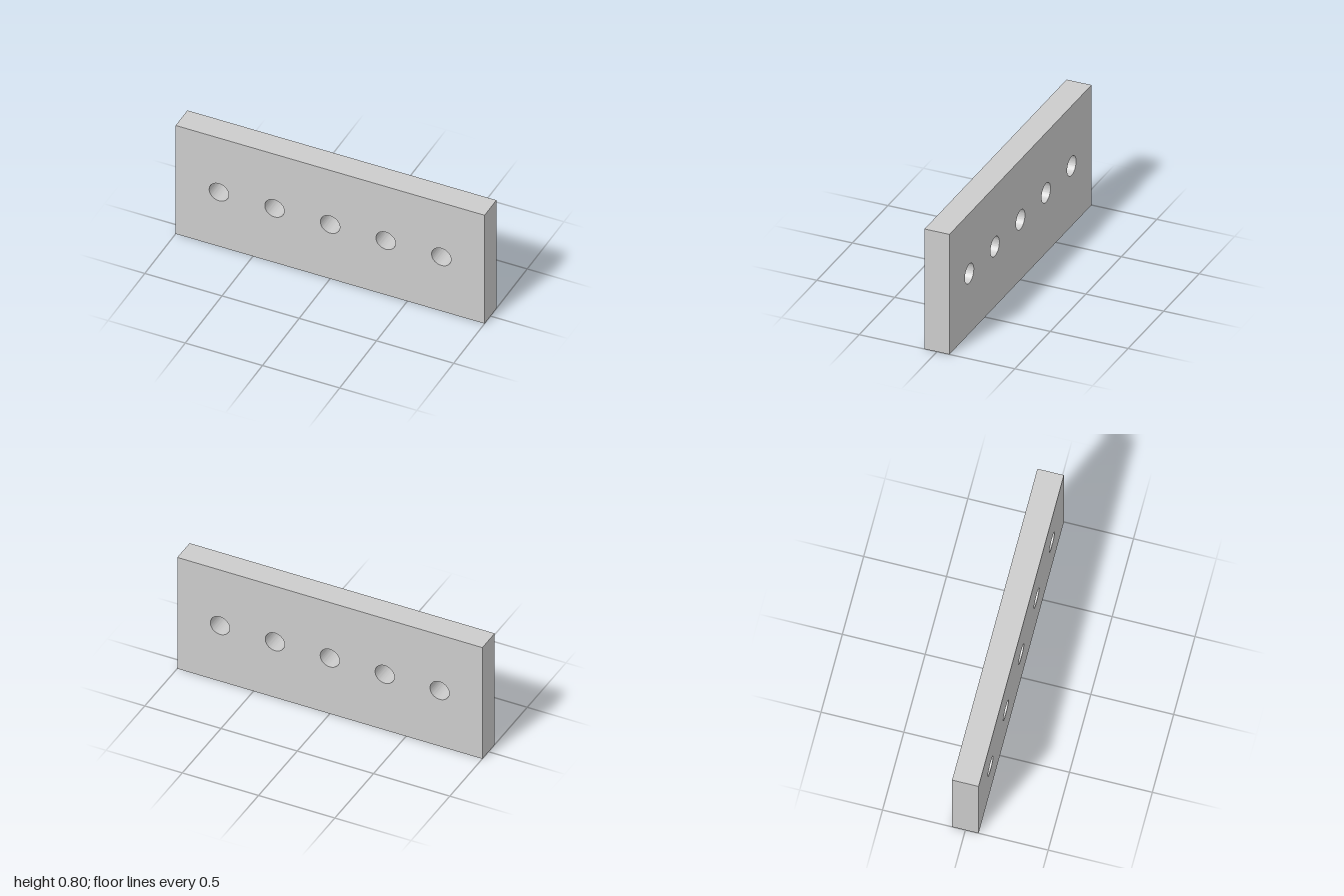
import * as THREE from 'three';
import { toCreasedNormals } from 'three/addons/utils/BufferGeometryUtils.js';

const WIDTH = 2, HEIGHT = 0.8, DEPTH = 0.16;
const HOLES = 5, HOLE_SPACING = 0.36, HOLE_RADIUS = 0.063;

export function createModel() {
  const group = new THREE.Group();
  group.name = 'perforatedPlate';

  // Rectangular plate outline
  const outline = new THREE.Shape([
    new THREE.Vector2(-WIDTH / 2, 0),
    new THREE.Vector2(WIDTH / 2, 0),
    new THREE.Vector2(WIDTH / 2, HEIGHT),
    new THREE.Vector2(-WIDTH / 2, HEIGHT),
  ]);

  // Row of round through holes along the middle
  for (let i = 0; i < HOLES; i++) {
    const x = (i - (HOLES - 1) / 2) * HOLE_SPACING;
    const hole = new THREE.Path();
    hole.absarc(x, HEIGHT / 2, HOLE_RADIUS, 0, Math.PI * 2, true);
    outline.holes.push(hole);
  }

  const geometry = new THREE.ExtrudeGeometry(outline, {
    depth: DEPTH, bevelEnabled: false, curveSegments: 48,
  });
  geometry.translate(0, 0, -DEPTH / 2);

  // Smooth hole walls, sharp plate edges
  const plate = new THREE.Mesh(
    toCreasedNormals(geometry, Math.PI / 6),
    new THREE.MeshStandardMaterial({ color: 0xcccccc }),
  );
  plate.name = 'plate';
  group.add(plate);
  return group;
}
